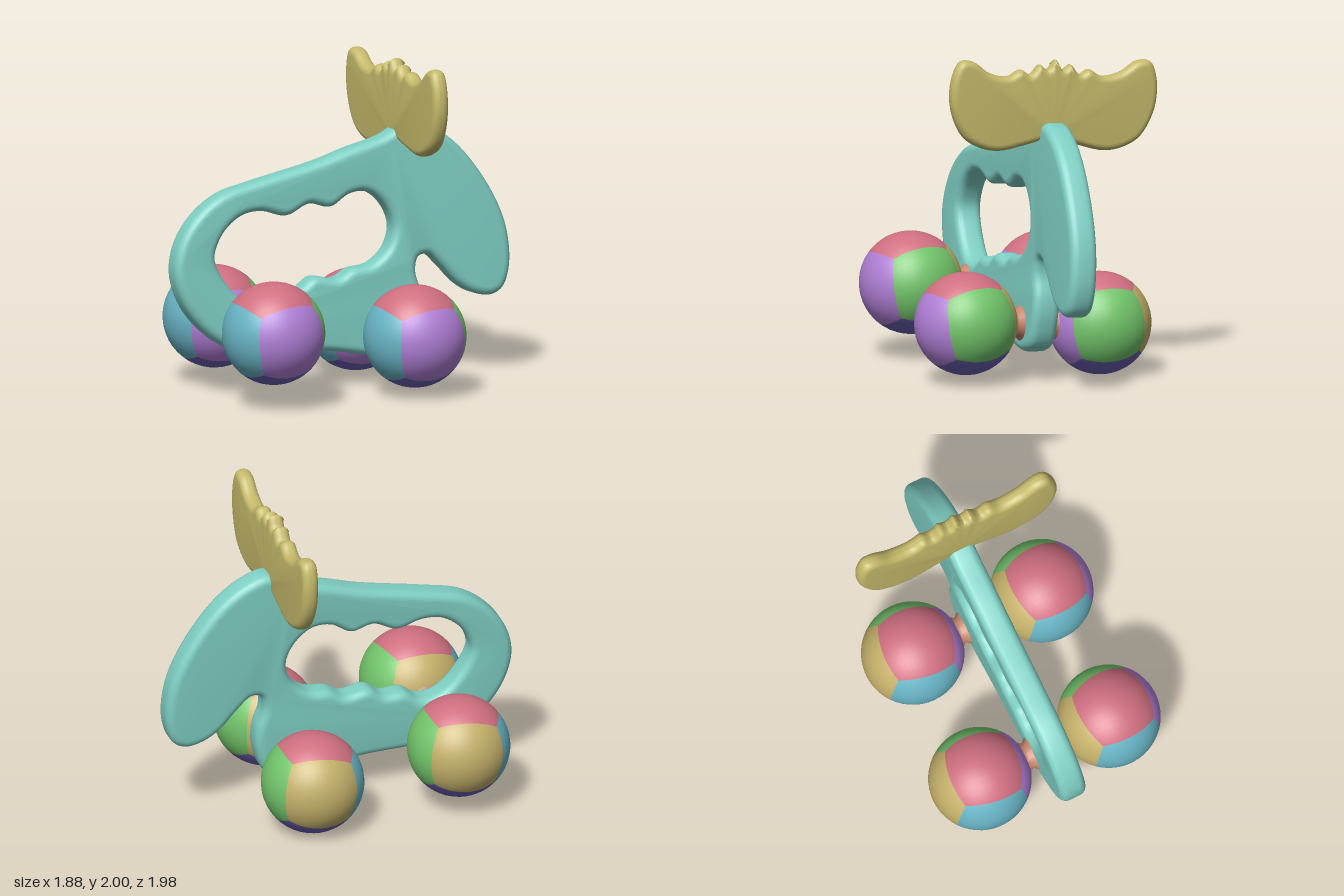
import * as THREE from 'three';
import { toCreasedNormals } from 'three/addons/utils/BufferGeometryUtils.js';

const mat = (color) => new THREE.MeshStandardMaterial({ color });
const wheelMats = [0x72c46a, 0x68b3c4, 0xcf6f80, 0x6a5fb0, 0xb07fd6, 0xc4b06a].map(mat);

// Smooth closed outline through a few points
function outline(points, divisions) {
  const curve = new THREE.CatmullRomCurve3(points.map(([x, y]) => new THREE.Vector3(x, y, 0)), true, 'centripetal');
  return curve.getPoints(divisions).slice(0, -1).map((p) => new THREE.Vector2(p.x, p.y));
}

// Flat plate with rounded edges, centred on its own thickness
function plate(shape, thickness, bevel, depthBevel) {
  const depth = thickness - 2 * depthBevel;
  const geo = new THREE.ExtrudeGeometry(shape, {
    depth, bevelEnabled: true, bevelSize: bevel, bevelOffset: -bevel,
    bevelThickness: depthBevel, bevelSegments: 5, steps: 1,
  });
  geo.translate(0, 0, -depth / 2);
  return toCreasedNormals(geo, 0.7);
}

// Ball made from an inflated cube, one colour per side
function ballGeometry(radius) {
  const geo = new THREE.BoxGeometry(2, 2, 2, 12, 12, 12);
  const pos = geo.attributes.position;
  const v = new THREE.Vector3();
  for (let i = 0; i < pos.count; i++) {
    v.fromBufferAttribute(pos, i);
    v.set(Math.tan(v.x * Math.PI / 4), Math.tan(v.y * Math.PI / 4), Math.tan(v.z * Math.PI / 4)).normalize();
    geo.attributes.normal.setXYZ(i, v.x, v.y, v.z);
    pos.setXYZ(i, v.x * radius, v.y * radius, v.z * radius);
  }
  return geo;
}

export function createModel() {
  const model = new THREE.Group();
  model.name = 'rollingMoose';

  // Everything is built with the head along +x, then turned and leaned slightly
  const toy = new THREE.Group();
  toy.name = 'toy';
  toy.rotation.set(-0.06, 0.892, 0, 'YXZ');
  toy.position.set(0.039, 0, 0.031);
  model.add(toy);

  const add = (name, geo, material) => {
    const mesh = new THREE.Mesh(geo, material);
    mesh.name = name;
    toy.add(mesh);
    return mesh;
  };

  // Body: back, rump, belly, front leg, muzzle and forehead in one plate
  const body = new THREE.Shape(outline([
    [0.43, 1.5], [0.2, 1.44], [0, 1.38], [-0.42, 1.29], [-0.65, 1.23], [-0.82, 1.11], [-0.93, 0.95],
    [-0.965, 0.78], [-0.92, 0.6], [-0.82, 0.45], [-0.68, 0.33], [-0.54, 0.265], [-0.4, 0.245],
    [0, 0.23], [0.3, 0.18], [0.47, 0.165], [0.6, 0.22], [0.66, 0.38], [0.66, 0.52], [0.62, 0.66],
    [0.64, 0.75], [0.7, 0.76], [0.79, 0.68], [0.89, 0.57], [0.99, 0.505], [1.11, 0.48], [1.19, 0.52],
    [1.235, 0.63], [1.24, 0.785], [1.2, 0.97], [1.09, 1.19], [0.92, 1.41], [0.76, 1.53], [0.6, 1.58],
  ], 170));

  // Hand hole with finger grips
  body.holes.push(new THREE.Path(outline([
    [-0.7, 0.84], [-0.67, 0.95], [-0.6, 1.04], [-0.5, 1.1], [-0.38, 1.11], [-0.22, 1.07], [-0.07, 1.13],
    [0.07, 1.1], [0.2, 1.17], [0.32, 1.17], [0.43, 1.08], [0.48, 0.95], [0.44, 0.82], [0.33, 0.73],
    [0.2, 0.71], [0.1, 0.66], [-0.05, 0.68], [-0.15, 0.62], [-0.28, 0.62], [-0.38, 0.56],
    [-0.5, 0.57], [-0.62, 0.68],
  ], 120)));
  add('body', plate(body, 0.17, 0.05, 0.05), mat(0x7fcfc4));

  // Antlers: one half outline mirrored across the head
  const half = [
    [0.05, 1.9], [0.1, 1.93], [0.16, 1.87], [0.22, 1.9], [0.3, 1.86], [0.42, 1.88], [0.53, 1.95],
    [0.61, 1.95], [0.66, 1.84], [0.655, 1.66], [0.57, 1.49], [0.46, 1.425], [0.34, 1.405], [0.17, 1.44],
  ];
  const mirrored = half.map(([x, y]) => [-x, y]).reverse();
  const antlerShape = new THREE.Shape(outline([[0, 1.96], ...half, [0, 1.48], ...mirrored], 150));
  const antlers = add('antlers', plate(antlerShape, 0.1, 0.04, 0.045), mat(0xc4b96a));
  antlers.rotation.y = -Math.PI / 2;
  antlers.position.x = 0.55;

  // Ball wheels, with waisted axles joining them to the body
  const ball = ballGeometry(0.312);
  const axle = new THREE.LatheGeometry(
    [[0.17, -0.25], [0.1, -0.14], [0.08, -0.115], [0.11, -0.08], [0.11, 0.08], [0.08, 0.115], [0.1, 0.14], [0.17, 0.25]]
      .map(([r, y]) => new THREE.Vector2(r, y)), 24);
  axle.rotateX(Math.PI / 2);
  for (const [end, x, y] of [['rear', -0.497, 0.425], ['front', 0.433, 0.332]]) {
    add(end + 'Axle', axle, mat(0xc98a6f)).position.set(x, y, 0);
    for (const side of [-1, 1]) {
      const wheel = add(end + (side > 0 ? 'Left' : 'Right') + 'Wheel', ball, wheelMats);
      wheel.position.set(x, y, side * 0.433);
      wheel.rotation.set(0.15, 0.1 * side, 0.1);
    }
  }
  return model;
}
